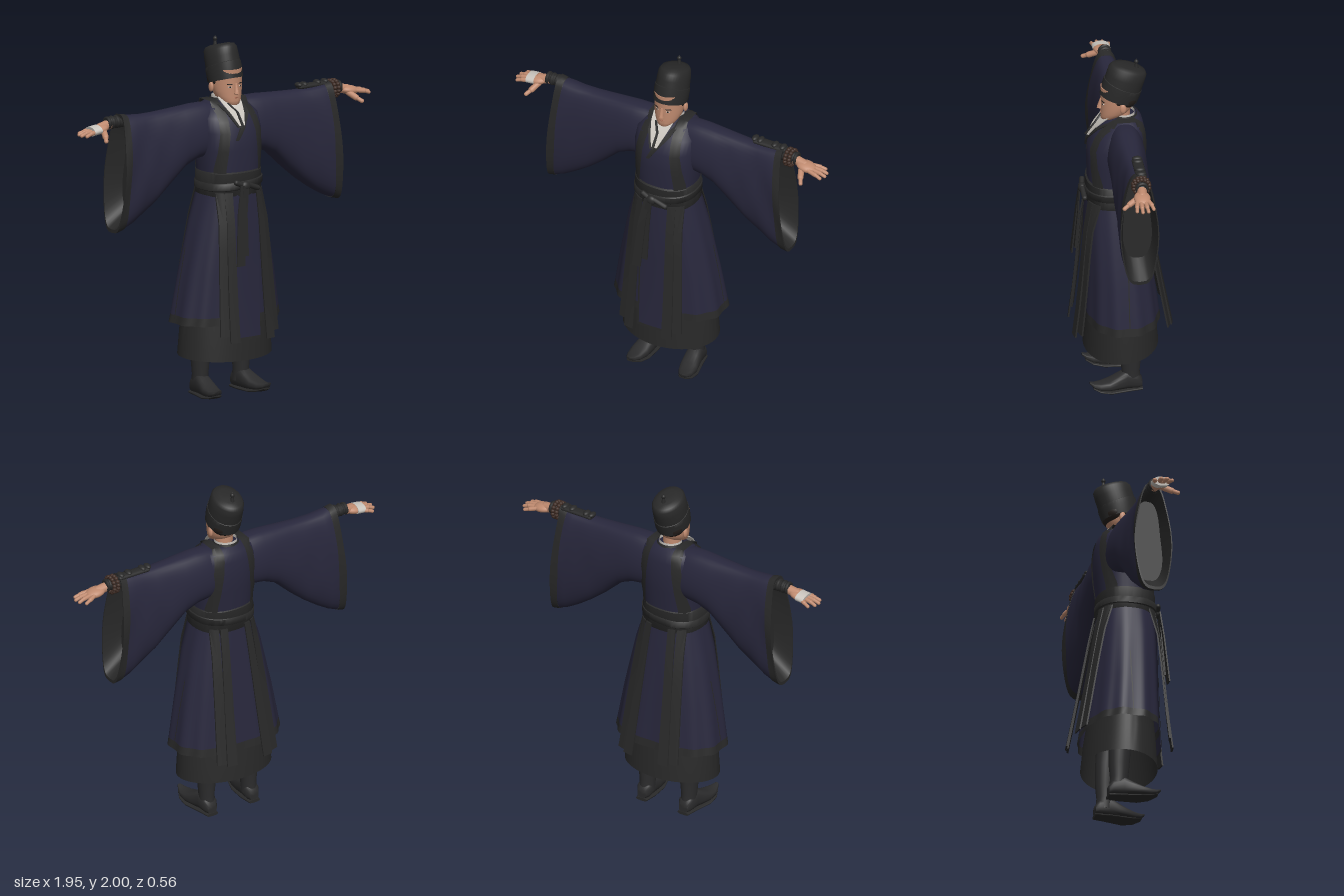
import * as THREE from 'three';
import { toCreasedNormals } from 'three/addons/utils/BufferGeometryUtils.js';

const mat = (name, color, side = THREE.DoubleSide) => {
  const m = new THREE.MeshStandardMaterial({ color, side });
  m.name = name;
  return m;
};
const M = {
  navy: mat('navy cloth', 0x28273c), black: mat('black cloth', 0x282828), boot: mat('boot leather', 0x2b2b2c),
  skin: mat('skin', 0xbf8a6f), hair: mat('hair', 0x241e1b), white: mat('white linen', 0xc9c4bd),
  brown: mat('brown beads', 0x3d2a22), lip: mat('lips', 0xa0654f),
};

// Surface through rows of points; rows may close into rings and be capped.
function loft(rows, closed = true, caps = false) {
  if (caps) {
    const mid = (r) => r.map(() => [0, 1, 2].map((k) => r.reduce((t, p) => t + p[k], 0) / r.length));
    rows = [mid(rows[0]), ...rows, mid(rows[rows.length - 1])];
  }
  const n = rows[0].length, index = [];
  for (let i = 0; i < rows.length - 1; i++) {
    for (let j = 0; j < (closed ? n : n - 1); j++) {
      const a = i * n + j, b = i * n + (j + 1) % n;
      index.push(a, b, b + n, a, b + n, a + n);
    }
  }
  const g = new THREE.BufferGeometry();
  g.setAttribute('position', new THREE.Float32BufferAttribute(rows.flat(2), 3));
  g.setIndex(index);
  return toCreasedNormals(g, 0.9);
}
const pw = (v, p) => Math.sign(v) * Math.abs(v) ** p;
const angles = (n) => Array.from({ length: n }, (_, i) => (i / n) * Math.PI * 2);
// Horizontal ring [y, centre z, half width, half depth], optionally pleated.
const ring = ([y, cz, rx, rz], { cx = 0, p = 1, n = 40, fold = 0 } = {}) => angles(n).map((a) => {
  const f = 1 - fold * (0.5 + 0.5 * Math.cos(a * 12));
  return [cx + rx * f * pw(Math.sin(a), p), y, cz + rz * f * pw(Math.cos(a), p)];
});

// Profiles of the robe: y, centre z, half width, half depth
const P = 0.85;
const TORSO = [[1.18, .022, .17, .148], [1.3, .02, .175, .153], [1.4, .015, .186, .16], [1.5, .01, .19, .16],
  [1.58, -.005, .185, .137], [1.63, -.025, .15, .105], [1.66, -.033, .075, .07]];
const SKIRT = [[.34, -.018, .35, .218], [.43, -.015, .334, .21], [.475, -.013, .326, .205], [.7, -.002, .288, .187],
  [1, .015, .226, .168], [1.18, .022, .172, .15]];
function sample(profile, y) {
  let i = 0;
  while (i < profile.length - 2 && y > profile[i + 1][0]) i++;
  const [a, b] = [profile[i], profile[i + 1]], t = (y - a[0]) / (b[0] - a[0]);
  return a.map((v, k) => v + (b[k] - v) * t);
}
// Point lying just outside the robe at x, y; dir is 1 in front and -1 behind
function onRobe(profile, x, y, dir, gap = 0.007) {
  const [, cz, rx, rz] = sample(profile, y);
  const q = Math.max(0, 1 - Math.min(1, Math.abs(x) / rx) ** (2 / P));
  return [x, y, cz + dir * (rz * q ** (P / 2) + gap)];
}
// Cloth strip along [x, y, z, width]
const strip = (path) => loft(path.map(([x, y, z, w]) => [
  [x - w / 2, y, z - .004], [x + w / 2, y, z - .004], [x + w / 2, y, z + .004], [x - w / 2, y, z + .004]]), true, true);

export function createModel() {
  const root = new THREE.Group();
  root.name = 'robedFigure';
  const add = (name, geo, m, pos, scale, parent = root) => {
    const mesh = new THREE.Mesh(geo, m);
    mesh.name = name;
    if (pos) mesh.position.set(...pos);
    if (scale) mesh.scale.set(...scale);
    parent.add(mesh);
    return mesh;
  };
  const ball = new THREE.SphereGeometry(1, 24, 16);
  const limb = (name, a, b, r, m) => {
    const A = new THREE.Vector3(...a), B = new THREE.Vector3(...b), d = B.clone().sub(A);
    const mesh = add(name, new THREE.CapsuleGeometry(r, d.length(), 6, 12), m, A.clone().add(B).multiplyScalar(.5).toArray());
    mesh.quaternion.setFromUnitVectors(new THREE.Vector3(0, 1, 0), d.normalize());
    return mesh;
  };

  // Robe body and skirts
  add('robeTorso', loft(TORSO.map((s) => ring(s, { p: P })), true, true), M.navy);
  add('robeSkirt', loft(SKIRT.slice(2).map((s, i) => ring(s, { p: P, n: 96, fold: .035 - i * .011 }))), M.navy);
  add('skirtHem', loft(SKIRT.slice(1, 3).map((s) => ring(s, { p: P, n: 96, fold: .035 }))), M.black);
  add('underskirt', loft([[.235, -.012, .283, .206], [.4, -.01, .272, .193], [.7, 0, .23, .155], [1, .01, .18, .13]]
    .map((s, i) => ring(s, { n: 64 }).map(([x, y, z]) => [x, i ? y : y - z * .07, z]))), M.black);

  // Front panel hanging below the hem
  const panel = (ys, x0, x1, gap) => loft(ys.map((y) => [0, .25, .5, .75, 1].map((t) => onRobe(SKIRT, x0 + (x1 - x0) * t, y, 1, gap))), false);
  add('frontPanel', panel([.355, .45, .6, .8, 1, 1.17], -.09, .09, .008), M.navy);
  add('frontPanelHem', panel([.34, .355], -.09, .09, .008), M.black);
  add('frontSeam', panel([.34, .6, .8, 1, 1.17], -.094, -.084, .011), M.black);

  for (const s of [1, -1]) {
    // Shoulder bands running from belt to belt over the shoulder
    const half = (dir) => [1.2, 1.3, 1.4, 1.5, 1.56, 1.6, 1.635].map((y) => {
      const x = .132 - Math.max(0, y - 1.3) * .11;
      return [-.026, -.009, .009, .026].map((o) => onRobe(TORSO, s * (x + o), y, dir));
    });
    const over = [.02, -.03, -.08].map((z) => [-.026, -.009, .009, .026].map((o) => [s * (.095 + o), 1.665, z]));
    add('shoulderBand', loft([...half(1), ...over, ...half(-1).reverse()], false), M.black);

    // Loose ribbons below the belt, curving with the skirt, front and back
    const ribbon = (name, x0, x1, w, yEnd, dir, out) => add(name, loft([0, .2, .4, .6, .8, 1].map((t) => {
      const x = x0 + (x1 - x0) * t, y = 1.17 + (yEnd - 1.17) * t, hw = (.04 + (w - .04) * t) / 2;
      const edge = (o, g) => onRobe(SKIRT, s * (x + o), y, dir, g + out * t);
      return [edge(-hw, .008), edge(0, .008), edge(hw, .008), edge(hw, .017), edge(0, .017), edge(-hw, .017)];
    }), true, true), M.black);
    ribbon('frontRibbonInner', .1, .118, .058, .345, 1, .055);
    ribbon('frontRibbonOuter', .135, .165, .058, .38, 1, .04);
    ribbon('backRibbonInner', .075, .115, .06, .39, -1, .045);
    ribbon('backRibbonOuter', .125, .165, .06, .4, -1, .035);
    // Side slit of the skirt
    add('sideSlit', loft([.45, .65, .85].map((y) => [-.024, -.018].map((z) => [s * (sample(SKIRT, y)[2] + .002), y, z])), false), M.black);

    // Wide hanging sleeve: x, top, bottom, half depth
    const section = ([x, top, bot, hz], k = 1) => angles(40).map((a) => {
      const v = Math.cos(a), low = (1 - v) / 2;
      const wave = 1 + .06 * Math.sin(x * 38 + v * 4) * Math.min(1, Math.max(0, x - .25) * 4);
      return [s * (x + .045 * low * Math.max(0, (x - .35) / .35)), (top + bot) / 2 + v * k * (top - bot) / 2,
        -.022 + pw(Math.sin(a), .64) * hz * k * wave * (.74 + .26 * low)];
    });
    const S = [[.06, 1.64, 1.38, .105], [.15, 1.655, 1.36, .118], [.22, 1.655, 1.35, .118], [.3, 1.65, 1.315, .116], [.4, 1.645, 1.215, .112],
      [.48, 1.642, 1.14, .11], [.56, 1.642, 1.075, .11], [.62, 1.647, 1.035, .112], [.665, 1.652, 1.013, .113]];
    const C = [S[8], [.685, 1.657, 1.005, .114], [.705, 1.66, 1, .115]];
    const deep = section([.6, 1.64, 1.06, .105], .85);
    add('sleeve', loft(S.map((q) => section(q))), M.navy);
    add('sleeveCuff', loft([...C.map((q) => section(q, 1.008)), section(C[2], .95)]), M.black);
    add('sleeveLining', loft([deep, section(C[2], .955)]), M.black);
    add('sleeveLiningBack', loft(Array.from({ length: 21 }, (_, j) => [deep[j], deep[(40 - j) % 40]]), false), M.black);

    // Inner sleeve, wrist and hand
    limb('innerSleeve', [s * .64, 1.612, -.03], [s * .76, 1.62, -.03], .032, M.black);
    for (const x of [.72, .75, .778]) {
      add('sleeveGather', new THREE.TorusGeometry(.027, .01, 8, 20), M.black, [s * x, 1.62, -.028]).rotation.y = Math.PI / 2;
    }
    limb('wrist', [s * .76, 1.614, -.028], [s * .83, 1.6, -.022], .027, M.skin);
    add('palm', ball, M.skin, [s * .845, 1.594, -.02], [.06, .026, .046]).rotation.z = -s * .15;
    [[-.05, -.072, .935], [-.031, -.04, .96], [-.01, -.008, .964], [.01, .022, .95]].forEach(([z0, z1, x], i) => {
      limb('finger' + (i + 1), [s * .87, 1.592, z0], [s * (x - .03), 1.584, (z0 + z1 * 2) / 3], .0125, M.skin);
      limb('fingertip' + (i + 1), [s * (x - .03), 1.584, (z0 + z1 * 2) / 3], [s * x, 1.574, z1], .01, M.skin);
    });
    limb('thumb', [s * .825, 1.585, .005], [s * .845, 1.562, .05], .017, M.skin);
    limb('thumbTip', [s * .845, 1.562, .05], [s * .862, 1.546, .08], .012, M.skin);

    // Boot with upturned toe
    add('bootShaft', loft([[.05, -.055, .043, .052], [.12, -.05, .043, .05], [.2, -.05, .05, .058], [.32, -.045, .054, .062], [.5, -.03, .06, .066]]
      .map((q) => ring(q, { cx: s * .137, n: 24 })), true, true), M.boot);
    const foot = (rows) => loft(rows.map(([z, cx, top, bot, hw]) => angles(24).map((a) =>
      [s * (cx + hw * pw(Math.cos(a), .8)), (top + bot) / 2 + pw(Math.sin(a), .7) * (top - bot) / 2, z])), true, true);
    add('bootFoot', foot([[-.112, .137, .07, .015, .028], [-.09, .137, .1, .012, .042], [-.03, .14, .13, .012, .044], [.02, .146, .102, .012, .049],
      [.07, .154, .076, .016, .052], [.12, .16, .064, .022, .042], [.155, .164, .065, .036, .026], [.18, .166, .072, .06, .01]]), M.boot);
    add('bootSole', foot([[-.115, .137, .018, 0, .034], [-.04, .139, .018, 0, .045], [.06, .153, .018, .002, .054], [.12, .16, .026, .012, .044], [.16, .164, .04, .03, .022]]), M.black);
  }

  // Belt, sash and knot
  add('belt', loft([[1.145, .022, .179, .157], [1.15, .022, .181, .16], [1.275, .022, .18, .16], [1.282, .022, .172, .15]].map((q) => ring(q, { p: P }))), M.black);
  add('sash', loft([[1.185, .024, .18, .16], [1.19, .024, .186, .166], [1.225, .024, .186, .166], [1.23, .024, .18, .16]]
    .map((q) => ring(q, { p: P }).map(([x, y, z]) => [x, y + x * .06, z]))), M.black);
  add('sashKnot', ball, M.black, [-.01, 1.205, .2], [.032, .028, .022]);
  limb('sashLoopLeft', [.01, 1.21, .2], [.075, 1.185, .196], .015, M.black);
  limb('sashLoopRight', [-.02, 1.21, .2], [-.065, 1.228, .193], .015, M.black);
  add('sashTailLong', strip([[-.03, 1.21, .21, .035], [-.055, 1.05, .225, .045], [-.075, .77, .25, .052]]), M.black);
  add('sashTailShort', strip([[-.015, 1.21, .215, .035], [-.032, 1.05, .218, .043], [-.038, .82, .236, .048]]), M.black);

  // Crossed collar
  add('innerCollar', strip([[-.012, 1.685, .035, .14], [-.012, 1.65, .078, .125], [-.01, 1.6, .127, .085], [-.01, 1.54, .167, .035]]), M.white);
  add('collarLapelRight', strip([[-.088, 1.665, .01, .022], [-.064, 1.61, .112, .024], [-.024, 1.53, .172, .026]]), M.black);
  add('collarLapelLeft', strip([[.078, 1.665, .01, .026], [.05, 1.6, .125, .028], [-.012, 1.52, .174, .03], [-.045, 1.46, .176, .02]]), M.black);
  add('collarFlap', strip([[-.045, 1.655, .082, .01], [-.012, 1.61, .127, .012], [-.012, 1.54, .18, .014]]), M.black);
  add('neckband', loft([[1.63, -.033, .086, .084], [1.672, -.033, .07, .066]].map((q) => ring(q))), M.black);
  add('neckLining', loft([[1.64, -.03, .066, .062], [1.68, -.03, .063, .06]].map((q) => ring(q))), M.white);

  // Head
  add('neck', new THREE.CylinderGeometry(.048, .052, .14, 24), M.skin, [0, 1.65, -.015]);
  add('face', loft([[1.636, .066, .024, .024], [1.646, .057, .042, .041], [1.665, .04, .06, .059], [1.69, .02, .073, .078], [1.72, .008, .081, .09],
    [1.75, .003, .084, .094], [1.79, 0, .086, .098], [1.84, 0, .085, .098]].map((q) => ring(q)), true, true), M.skin);
  add('hairBack', ball, M.hair, [0, 1.775, -.035], [.088, .07, .076]);
  add('nose', loft([[1.702, .098, .008, .01], [1.708, .1, .015, .019], [1.722, .098, .011, .018], [1.765, .093, .008, .008]].map((q) => ring(q, { n: 16 })), true, true), M.skin);
  add('upperLip', ball, M.lip, [0, 1.683, .094], [.02, .0035, .007]);
  add('lowerLip', ball, M.lip, [0, 1.677, .092], [.016, .0035, .007]);
  for (const s of [1, -1]) {
    add('ear', ball, M.skin, [s * .088, 1.735, -.015], [.011, .028, .018]);
    add('sideburn', ball, M.hair, [s * .083, 1.775, .008], [.006, .022, .014]);
    const eye = add('eye', ball, M.white, [s * .034, 1.744, .088], [.012, .004, .004]);
    const iris = add('iris', ball, M.hair, [s * .034, 1.744, .0905], [.005, .0045, .003]);
    const brow = add('brow', ball, M.hair, [s * .036, 1.76, .089], [.018, .003, .004]);
    for (const m of [eye, iris, brow]) m.rotation.y = s * .42;
  }

  // Tall cap leaning backwards, with a front fold and finial
  const cap = new THREE.Group();
  cap.name = 'cap';
  cap.position.set(0, 1.77, -.002);
  cap.rotation.x = -.29;
  root.add(cap);
  add('capCrown', loft([[0, 0, .09, .106], [.06, 0, .093, .108], [.13, -.002, .089, .109], [.17, -.002, .084, .108], [.187, -.002, .074, .096], [.196, -.002, .045, .06]]
    .map((q) => ring(q)), true, true), M.black, null, null, cap);
  add('capFold', loft([[-.004, 0, .092, .108], [.05, 0, .096, .112], [.095, 0, .094, .112], [.099, 0, .088, .105]]
    .map((q) => ring(q).map(([x, y, z]) => [x, y > .09 ? y + z * .12 - .015 : y, z]))), M.black, null, null, cap);
  add('finialStem', new THREE.CylinderGeometry(.006, .012, .04, 12), M.black, [0, 1.96, -.1]);
  add('finialBead', ball, M.black, [0, 1.98, -.1], [.012, .013, .012]);
  add('finialTip', new THREE.ConeGeometry(.006, .015, 10), M.black, [0, 1.9925, -.1]);

  // Beads and ornament on the left sleeve, bandage on the right hand
  for (const x of [.727, .752]) {
    for (const a of angles(14)) add('bead', new THREE.SphereGeometry(.012, 10, 8), M.brown, [x, 1.615 + .044 * Math.cos(a), -.028 + .044 * Math.sin(a)]);
  }
  add('sleeveOrnament', new THREE.CapsuleGeometry(.014, .18, 6, 12), M.black, [.61, 1.65, -.035], [1, 1, 2.2]).rotation.z = Math.PI / 2;
  for (const x of [.515, .55, .64, .69]) add('ornamentStud', ball, M.black, [x, 1.662, -.035], [.018, .014, .028]);
  add('bandage', new THREE.CylinderGeometry(1, 1, .05, 28), M.white, [-.872, 1.591, -.022], [.026, 1, .049]).rotation.z = Math.PI / 2 + .12;
  return root;
}
